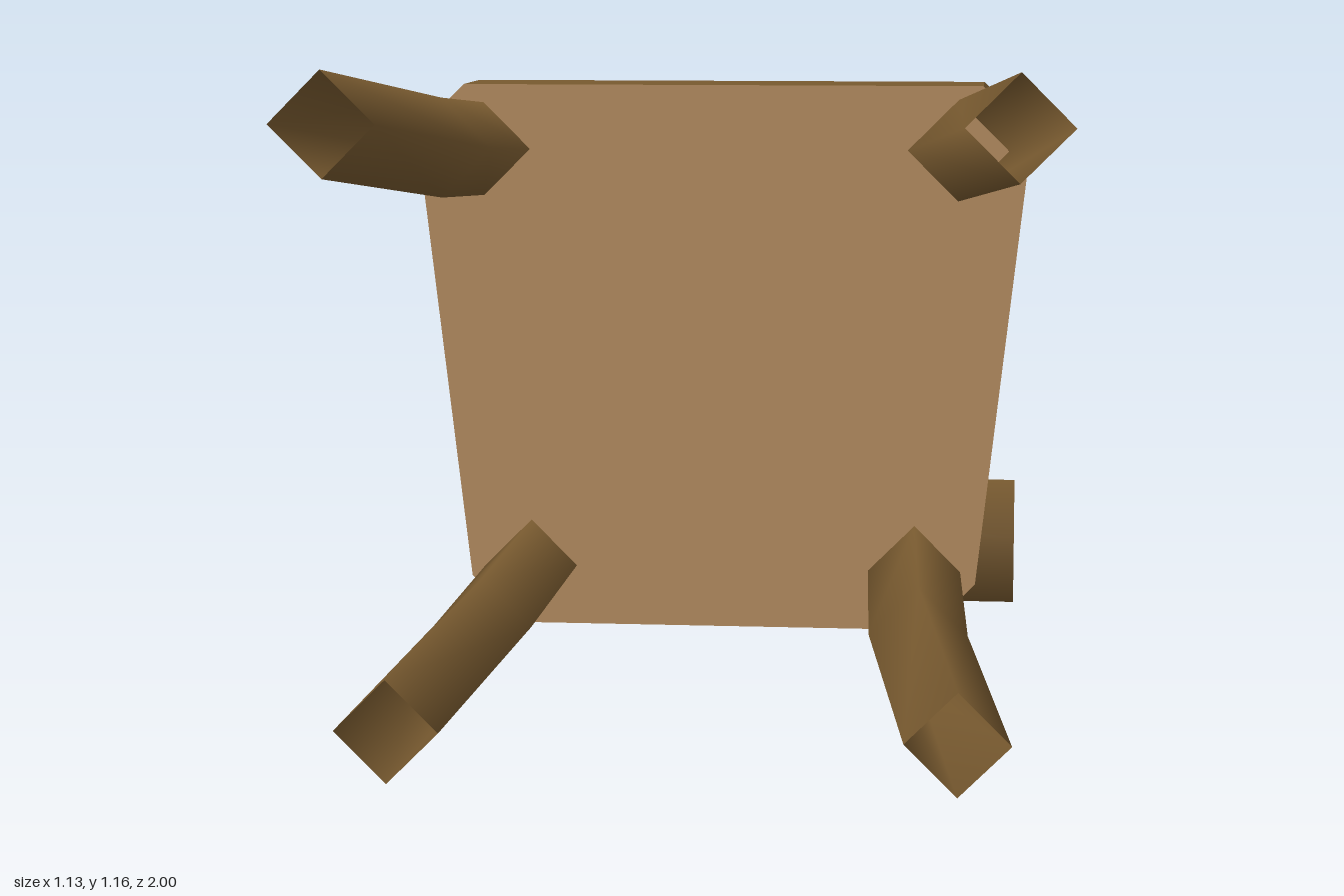
import * as THREE from 'three';
import { ConvexGeometry } from 'three/addons/geometries/ConvexGeometry.js';

// Square bar swept along points of increasing z, ends left open
function barGeometry(path, r) {
  const pos = [], idx = [];
  path.forEach(([x, y, z]) => {
    for (let j = 0; j < 4; j++) {
      const a = j * Math.PI / 2;
      pos.push(x + r * Math.cos(a), y + r * Math.sin(a), z);
    }
  });
  for (let i = 0; i < path.length - 1; i++) {
    for (let j = 0; j < 4; j++) {
      const a = i * 4 + j, b = i * 4 + (j + 1) % 4;
      idx.push(a, b, b + 4, a, b + 4, a + 4);
    }
  }
  const g = new THREE.BufferGeometry();
  g.setAttribute('position', new THREE.Float32BufferAttribute(pos, 3));
  g.setIndex(idx);
  g.computeVertexNormals();
  return g;
}

export function createModel() {
  const group = new THREE.Group();
  const bark = new THREE.MeshStandardMaterial({ color: 0x77592f, side: THREE.DoubleSide });
  bark.name = 'dark wood';
  const wood = new THREE.MeshStandardMaterial({ color: 0xc4996a });
  wood.name = 'light wood';
  const cloth = new THREE.MeshStandardMaterial({ color: 0xc4c4c4 });
  cloth.name = 'grey cushion';

  const add = (name, geometry, material) => {
    const m = new THREE.Mesh(geometry, material);
    m.name = name;
    group.add(m);
    return m;
  };

  // Seat slab: tapered with cut corners, light faces and dark rim
  const half = [[0.35, 0.19], [0.425, 0.27], [0.51, 1.02], [0.43, 1.1]];
  const outline = [...half, ...half.map(([x, y]) => [-x, y]).reverse()];
  const shape = new THREE.Shape(outline.map(([x, y]) => new THREE.Vector2(x, y)));
  const seat = new THREE.ExtrudeGeometry(shape, { depth: 0.155, bevelEnabled: false });
  seat.translate(0, 0, 0.045);
  add('seat', seat, [wood, bark]);

  // Cushion: sloped sides rising to a shallow ridge
  const cushion = [];
  [
    [0.31, 0.36, 0.05], [0.375, 0.42, 0.05], [0.44, 0.99, 0.05], [0.37, 1.05, 0.05],
    [0.28, 0.39, -0.055], [0.34, 0.44, -0.055], [0.4, 0.97, -0.055], [0.335, 1.02, -0.055],
    [0.3, 0.7, -0.097],
  ].forEach(([x, y, z]) => {
    cushion.push(new THREE.Vector3(x, y, z), new THREE.Vector3(-x, y, z));
  });
  add('cushion', new ConvexGeometry(cushion), cloth);

  // Legs and back posts, mirrored
  const backCurve = (x) => [
    [x, 0.165, -0.8], [x, 0.2, -0.6], [x, 0.257, -0.23], [x, 0.288, 0.06],
  ];
  for (const [side, s] of [['left', 1], ['right', -1]]) {
    const frontLeg = [[0.397, 0.993, 0.15], [0.397, 0.993, 0.2], [0.397, 1.02, 0.58], [0.49, 1.08, 1]];
    frontLeg[0][1] = 0.99;
    const rearLeg = [[0.322, 0.29, 0.15], [0.323, 0.29, 0.2], [0.342, 0.268, 0.58], [0.412, 0.205, 1]];
    const mirror = (p) => p.map(([x, y, z]) => [x * s, y, z]);
    add(side + 'FrontLeg', barGeometry(mirror(frontLeg), 0.077), bark);
    add(side + 'RearLeg', barGeometry(mirror(rearLeg), 0.077), bark);
    add(side + 'BackPost', barGeometry(backCurve(0.332 * s), 0.073), bark);
  }

  // Thin back spindles
  [-0.16, 0, 0.16].forEach((x, i) => {
    add('backSpindle' + (i + 1), barGeometry(backCurve(x), 0.038), bark);
  });

  // Six-sided top rail with light cut ends
  const rail = new THREE.CylinderGeometry(0.138, 0.138, 0.965, 6, 1, false, 0.248);
  rail.rotateZ(Math.PI / 2);
  add('topRail', rail, [bark, wood, wood]).position.set(0.008, 0.134, -0.866);

  return group;
}
